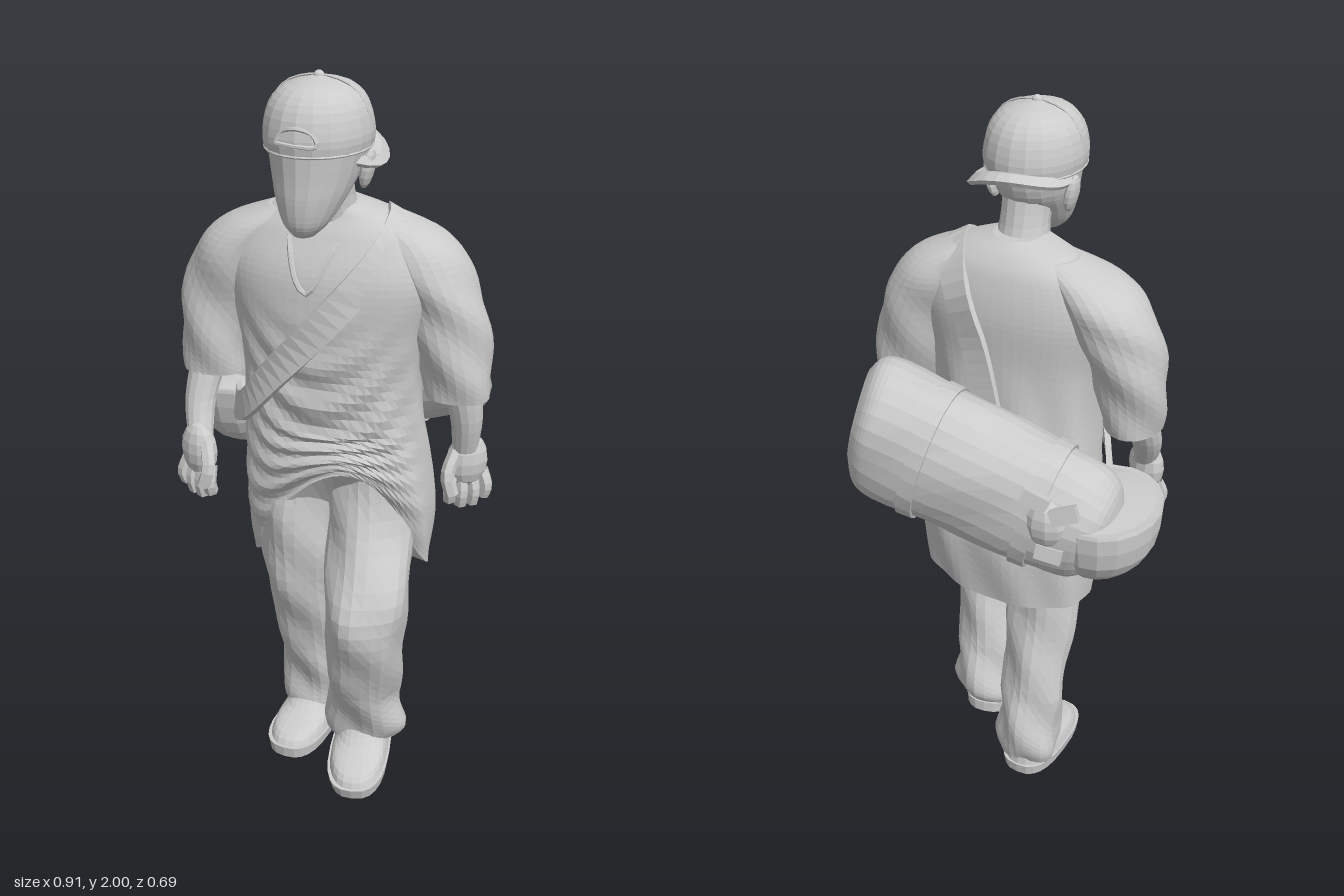
import * as THREE from 'three';

const mat = new THREE.MeshStandardMaterial({ color: 0xcccccc, flatShading: true, side: THREE.DoubleSide });
const V = (x, y, z) => new THREE.Vector3(x, y, z);
const smooth = THREE.MathUtils.smoothstep;

function add(parent, name, geo) {
  const m = new THREE.Mesh(geo, mat);
  m.name = name;
  parent.add(m);
  return m;
}

function spline(a, b, c, d, t) {
  return b + 0.5 * t * (c - a + t * (2 * a - 5 * b + 4 * c - d + t * (3 * (b - c) + d - a)));
}

function indexed(pos, idx) {
  const g = new THREE.BufferGeometry();
  g.setAttribute('position', new THREE.Float32BufferAttribute(pos, 3));
  g.setIndex(idx);
  g.computeVertexNormals();
  return g;
}

// Skin through horizontal ellipses [x, y, z, rx, rz], listed bottom to top
function loft(rings, { n = 24, sub = 4, warp = null, square = 1 } = {}) {
  const rows = [], pos = [], idx = [];
  const at = i => rings[Math.min(Math.max(i, 0), rings.length - 1)];
  for (let i = 0; i < rings.length - 1; i++)
    for (let s = 0; s < sub; s++)
      rows.push(at(i).map((_, k) => spline(at(i - 1)[k], at(i)[k], at(i + 1)[k], at(i + 2)[k], s / sub)));
  rows.push(at(rings.length));
  const pw = v => Math.sign(v) * Math.abs(v) ** square;
  rows.forEach(([x, y, z, rx, rz]) => {
    for (let j = 0; j < n; j++) {
      const a = j / n * Math.PI * 2;
      const p = V(x + rx * pw(Math.sin(a)), y, z + rz * pw(Math.cos(a)));
      if (warp) warp(p, a);
      pos.push(p.x, p.y, p.z);
    }
  });
  const last = (rows.length - 1) * n, c = rows.length * n;
  // cap centres sit at the average of their rim
  for (const start of [0, last]) {
    const m = [0, 0, 0];
    for (let j = 0; j < n * 3; j++) m[j % 3] += pos[start * 3 + j] / n;
    pos.push(...m);
  }
  for (let j = 0; j < n; j++) {
    const k = (j + 1) % n;
    for (let i = 0; i < last; i += n) idx.push(i + j, i + k, i + n + j, i + k, i + n + k, i + n + j);
    idx.push(c, k, j, c + 1, last + j, last + k);
  }
  return indexed(pos, idx);
}

// Flat band along a path, lying against a body around the given centre
function ribbon(points, width, thick, center) {
  const curve = new THREE.CatmullRomCurve3(points.map(p => V(...p)));
  const N = 44, pos = [], idx = [];
  for (let i = 0; i <= N; i++) {
    const p = curve.getPointAt(i / N), t = curve.getTangentAt(i / N);
    const out = p.clone().sub(center(p));
    out.addScaledVector(t, -out.dot(t)).normalize();
    const w = t.clone().cross(out);
    for (const [s, h] of [[-1, -1], [1, -1], [1, 1], [-1, 1]]) {
      const q = p.clone().addScaledVector(w, s * width / 2).addScaledVector(out, h * thick / 2);
      pos.push(q.x, q.y, q.z);
    }
    if (i < N) for (let j = 0; j < 4; j++) {
      const a = i * 4 + j, b = i * 4 + (j + 1) % 4;
      idx.push(a, b, a + 4, b, b + 4, a + 4);
    }
  }
  return indexed(pos, idx);
}

const tube = (pts, r, n = 16) => new THREE.TubeGeometry(new THREE.CatmullRomCurve3(pts.map(p => V(...p))), n, r, 6);

function push(p, a, d) {
  p.x += d * Math.sin(a);
  p.z += d * Math.cos(a);
}

// Shirt: U-shaped front drapes and a hem that is high in front, low behind
function shirtWarp(p, a) {
  const front = Math.max(0, Math.cos(a)) ** 1.5, x = p.x - 0.05;
  const fade = smooth(1.48 - p.y, 0, 0.3);
  push(p, a, 0.008 * fade * (front * Math.sin(55 * (p.y - 3.5 * x * x)) + 0.5 * (1 - front) * Math.sin(9 * a + 12 * p.y)));
  const hem = 0.63 + 0.33 * Math.max(0, Math.cos(a - 0.2)) ** 2.4 + 0.03 * Math.max(0, Math.sin(a));
  if (p.y < 1.1) p.y = 1.1 + (p.y - 1.1) * (1.1 - hem) / 0.48;
}

// Trousers: steep slanting creases, stronger towards the cuff
const trouserWarp = (p, a) => push(p, a, (p.y < 0.3 ? 0.007 : 0.004) * Math.sin(26 * p.y + 3 * a) + 0.004 * Math.sin(5 * a - 6 * p.y));
const sleeveWarp = (p, a) => push(p, a, 0.005 * smooth(1.6 - p.y, 0, 0.15) * Math.sin(30 * p.y + 3 * a));

// Bag: its underside (local +x) sags away from the body, and its left end is slanted
function bagWarp(p, a) {
  push(p, a, .003 * Math.sin(4 * a + 20 * p.y));
  if (p.x > 0) {
    p.x *= 1.06 - 1.3 * p.z;
    if (p.z < 0) p.z *= 1 + .6 * p.x;
  }
  p.y += .25 * p.z * smooth(p.y, .2, .36);
}

// Relaxed hand hanging from the wrist; side = +1 puts the thumb towards +x
function hand(parent, name, x, y, z, side, yaw) {
  const g = new THREE.Group();
  g.name = name;
  add(g, 'palm', new THREE.SphereGeometry(1, 12, 8)).scale.set(0.05, 0.066, 0.034);
  for (let i = 0; i < 4; i++) {
    const fx = (i - 1.5) * 0.025, len = i === 0 || i === 3 ? 0.065 : 0.08;
    add(g, 'finger', tube([[fx, -0.03, 0], [fx * 1.2, -0.03 - len * 0.6, 0.012], [fx * 1.1, -0.03 - len, 0.004]], 0.016, 6));
  }
  add(g, 'thumb', tube([[side * 0.03, 0.03, 0.005], [side * 0.058, -0.02, 0.025], [side * 0.05, -0.065, 0.035]], 0.016, 6));
  g.position.set(x, y, z);
  g.rotation.y = yaw;
  g.scale.setScalar(1.15);
  parent.add(g);
}

function shoe(parent, name, x, y, z, tilt, yaw) {
  const g = new THREE.Group();
  g.name = name;
  add(g, 'sole', loft([[0, 0, 0, 0.08, 0.155], [0, 0.035, 0, 0.086, 0.16]], { sub: 1, square: 0.75 }));
  add(g, 'upper', loft([[0, 0.03, 0, 0.082, 0.155], [0, 0.06, -0.01, 0.075, 0.14], [0, 0.085, -0.05, 0.065, 0.095], [0, 0.13, -0.07, 0.055, 0.065]], { sub: 3, square: 0.85 }));
  g.position.set(x, y, z);
  g.rotation.set(tilt, yaw, 0);
  parent.add(g);
}

export function createModel() {
  const model = new THREE.Group();
  model.name = 'walkingFigure';

  // Legs and shoes
  add(model, 'leftTrouserLeg', loft([[.145, .11, .1, .098, .09], [.145, .15, .1, .115, .1], [.15, .25, .125, .1, .105], [.165, .4, .17, .104, .115],
    [.18, .6, .2, .11, .125], [.16, .8, .1, .118, .118], [.14, 1, .06, .11, .11]], { sub: 5, warp: trouserWarp }));
  add(model, 'rightTrouserLeg', loft([[-.06, .05, -.03, .085, .08], [-.06, .1, -.03, .098, .09], [-.06, .2, -.02, .09, .09], [-.06, .4, .025, .095, .1],
    [-.06, .6, .07, .105, .115], [-.06, .8, .075, .115, .122], [-.04, 1, .06, .11, .11]], { sub: 5, warp: trouserWarp }));
  shoe(model, 'leftShoe', .155, .04, .165, .16, .2);
  shoe(model, 'rightShoe', -.065, 0, .045, 0, -.03);

  // Shirt with sleeves and neckline
  add(model, 'shirt', loft([[.05, .62, .05, .25, .14], [.05, .8, .062, .262, .17], [.045, 1, .07, .25, .165], [.04, 1.2, .09, .235, .158],
    [.04, 1.35, .1, .25, .155], [.045, 1.5, .095, .285, .15], [.045, 1.6, .085, .25, .118], [.045, 1.65, .085, .16, .088], [.045, 1.68, .1, .065, .065]],
    { n: 64, sub: 7, warp: shirtWarp, square: .92 }));
  add(model, 'leftSleeve', loft([[.37, 1.19, .06, .08, .08], [.36, 1.27, .06, .092, .09], [.33, 1.4, .06, .105, .102], [.28, 1.53, .065, .103, .115],
    [.235, 1.6, .07, .09, .095], [.16, 1.648, .08, .06, .06]], { sub: 5, warp: sleeveWarp }));
  add(model, 'rightSleeve', loft([[-.28, 1.19, .12, .08, .08], [-.28, 1.27, .115, .088, .09], [-.26, 1.4, .1, .107, .102], [-.21, 1.53, .09, .11, .118],
    [-.155, 1.6, .088, .095, .1], [-.07, 1.648, .085, .06, .06]], { sub: 5, warp: sleeveWarp }));
  add(model, 'neckline', tube([[-.05, 1.655, .125], [-.025, 1.58, .208], [.005, 1.5, .242], [.03, 1.475, .247], [.055, 1.5, .242], [.09, 1.58, .208], [.125, 1.655, .125]], .008, 24));

  // Arms and hands
  add(model, 'leftForearm', loft([[.385, 1.02, .03, .033, .033], [.39, 1.12, .045, .042, .045], [.37, 1.25, .06, .055, .055]], { n: 14 }));
  add(model, 'rightForearm', loft([[-.28, 1.02, .23, .033, .033], [-.3, 1.12, .18, .042, .042], [-.285, 1.25, .125, .052, .052]], { n: 14 }));
  hand(model, 'leftHand', .39, .985, .02, -1, .7);
  hand(model, 'rightHand', -.28, .995, .24, 1, -.4);

  // Neck, head and ears
  add(model, 'neck', loft([[.045, 1.6, .1, .085, .075], [.045, 1.7, .13, .064, .065], [.045, 1.82, .165, .07, .075]], { n: 16 }));
  add(model, 'head', loft([[.04, 1.635, .272, .025, .03], [.04, 1.665, .257, .055, .065], [.042, 1.72, .23, .083, .1], [.044, 1.78, .2, .104, .13], [.045, 1.86, .19, .12, .142]], { n: 20 }));
  for (const s of [-1, 1]) {
    const ear = add(model, s > 0 ? 'leftEar' : 'rightEar', new THREE.SphereGeometry(1, 10, 8));
    ear.scale.set(.016, .05, .03);
    ear.position.set(.045 + s * .112, 1.778, .165);
    ear.rotation.z = -s * .2;
  }

  // Backwards cap: crown, seam, button, adjuster opening and brim
  add(model, 'capCrown', loft([[.045, 1.83, .19, .125, .145], [.045, 1.87, .19, .13, .148], [.045, 1.93, .19, .116, .13], [.045, 1.97, .19, .08, .09], [.045, 1.99, .19, .015, .017]], { n: 20, sub: 3 }));
  add(model, 'capSeam', tube([[-.085, 1.87, .19], [-.071, 1.93, .19], [-.033, 1.973, .19], [.045, 1.992, .19], [.123, 1.973, .19], [.161, 1.93, .19], [.175, 1.87, .19]], .003));
  add(model, 'capButton', new THREE.SphereGeometry(.014, 10, 6)).position.set(.045, 1.988, .19);
  add(model, 'capOpening', tube([[-.005, 1.862, .329], [.008, 1.886, .325], [.045, 1.898, .332], [.082, 1.886, .325], [.095, 1.862, .329], [.045, 1.86, .337], [-.005, 1.862, .329]], .005, 24));
  const band = add(model, 'capBand', new THREE.TorusGeometry(1, .03, 6, 28));
  band.rotation.x = Math.PI / 2;
  band.scale.set(.124, .144, .12);
  band.position.set(.045, 1.834, .19);
  const brim = add(model, 'capBrim', loft([[0, -.012, 0, .128, .125], [0, 0, 0, .136, .132], [0, .012, .01, .118, .115]], { sub: 1, warp: p => { p.y -= 2 * p.x * p.x; } }));
  brim.position.set(.06, 1.838, .13);
  brim.rotation.set(.06, 0, -.12);

  // Duffel bag slung across the back, high at the left end
  const bag = new THREE.Group();
  bag.name = 'duffelBag';
  bag.position.set(.01, 1.13, -.17);
  bag.quaternion.setFromUnitVectors(V(0, 1, 0), V(.6, .17, -.065).normalize());
  model.add(bag);
  add(bag, 'bagBody', loft([[0, -.37, 0, .08, .07], [0, -.335, 0, .135, .115], [0, -.25, 0, .165, .137], [0, 0, 0, .178, .145],
    [0, .24, 0, .186, .151], [0, .325, 0, .172, .145], [0, .36, 0, .12, .11]], { n: 26, warp: bagWarp }));
  [[-.18, .18, .147], [.14, .19, .156]].forEach(([y, rx, rz]) =>
    add(bag, 'bagStrap', loft([[0, y - .022, 0, rx, rz], [0, y + .022, 0, rx, rz]], { n: 26, sub: 1, warp: bagWarp })));

  // Slack pouch at the low end, with a turned rim and a slightly sunken top
  add(model, 'slackEnd', loft([[-.29, .88, -.1, .03, .04], [-.3, .91, -.1, .09, .1], [-.31, .98, -.1, .132, .15], [-.31, 1.08, -.095, .145, .17],
    [-.305, 1.09, -.095, .13, .155], [-.28, 1.1, -.1, .07, .09]], { n: 18, sub: 2 }));
  const knot = add(model, 'sidePouch', new THREE.SphereGeometry(1, 10, 8));
  knot.scale.set(.06, .07, .04);
  knot.position.set(-.22, 1.1, -.265);
  [[-.2, 1.17, .3], [-.28, 1.15, -.4], [-.24, 1.02, .1]].forEach(([x, y, r]) => {
    const b = add(model, 'buckle', new THREE.BoxGeometry(.07, .04, .025));
    b.position.set(x, y, -.28);
    b.rotation.set(.2, .2, r);
  });

  // Shoulder strap: from the bag up the back, over the left shoulder, across the chest
  add(model, 'shoulderStrap', ribbon([[.04, 1.24, -.085], [.09, 1.42, -.064], [.15, 1.56, -.045], [.2, 1.64, .035], [.225, 1.638, .1], [.21, 1.575, .182], [.1, 1.43, .254],
    [-.05, 1.26, .252], [-.16, 1.13, .2], [-.24, 1.07, .08], [-.3, 1.05, -.06]], .078, .016, p => V(.04 + .5 * Math.max(0, p.x - .04), Math.min(p.y, 1.48), .08)));
  return model;
}
